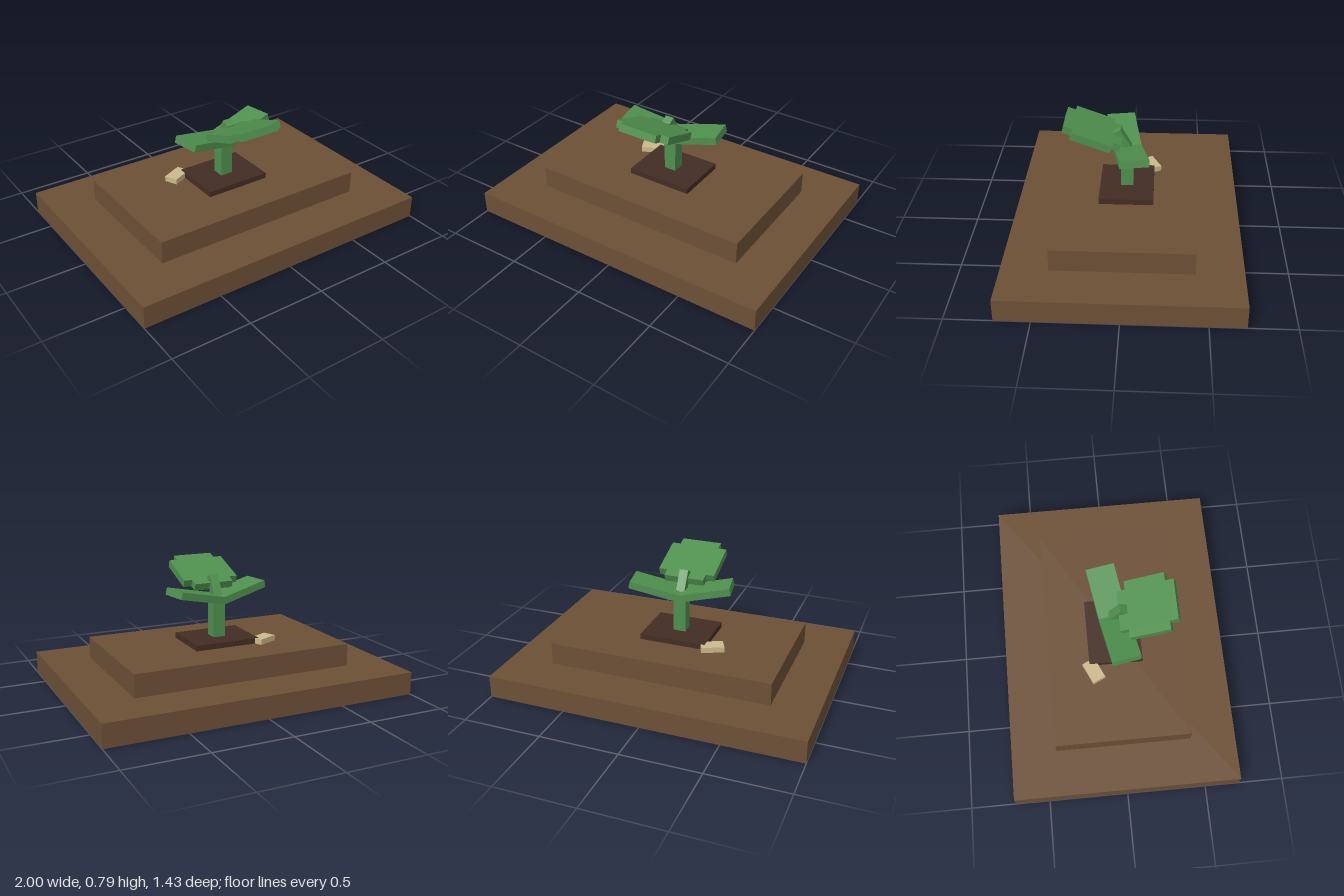
import * as THREE from 'three';

export function createModel() {
  const model = new THREE.Group();
  model.name = 'plantOnSteppedBase';

  const material = (name, color) => {
    const m = new THREE.MeshStandardMaterial({ color });
    m.name = name;
    return m;
  };
  const soil = material('soilBrown', 0x6d5036);
  const dark = material('darkBrown', 0x432d24);
  const green = material('leafGreen', 0x4f904e);
  const tan = material('paleTan', 0xccba8c);

  const box = (name, mat, w, h, d, x, y, z, parent = model) => {
    const mesh = new THREE.Mesh(new THREE.BoxGeometry(w, h, d), mat);
    mesh.name = name;
    mesh.position.set(x, y, z);
    parent.add(mesh);
    return mesh;
  };

  // Stepped ground, dark bed and the small chip tucked against its corner
  box('lowerStep', soil, 2, 0.143, 1.43, 0, 0.0715, 0);
  box('upperStep', soil, 1.428, 0.143, 0.856, 0, 0.2145, 0);
  box('darkBed', dark, 0.428, 0.036, 0.342, 0, 0.304, 0);
  const chip = box('chip', tan, 0.143, 0.035, 0.086, -0.257, 0.3035, -0.147);
  chip.rotation.y = THREE.MathUtils.degToRad(25);

  // Stem
  box('stem', green, 0.08, 0.24, 0.08, 0, 0.442, 0);

  // Shallow V of two lower leaves, extruded across its width
  const tilt = THREE.MathUtils.degToRad(12.5);
  const len = 0.33, thick = 0.046;
  const tipX = len * Math.cos(tilt), tipY = len * Math.sin(tilt);
  const offX = thick * Math.sin(tilt), offY = thick * Math.cos(tilt);
  const vShape = new THREE.Shape([
    [0, 0], [tipX, tipY], [tipX - offX, tipY + offY],
    [0, thick / Math.cos(tilt)],
    [-tipX + offX, tipY + offY], [-tipX, tipY],
  ].map(([x, y]) => new THREE.Vector2(x, y)));
  const vGeo = new THREE.ExtrudeGeometry(vShape, { depth: 0.18, bevelEnabled: false });
  vGeo.translate(0, 0, -0.09);
  const lowerLeaves = new THREE.Mesh(vGeo, green);
  lowerLeaves.name = 'lowerLeaves';
  lowerLeaves.position.y = 0.541;
  lowerLeaves.rotation.y = THREE.MathUtils.degToRad(10);
  model.add(lowerLeaves);

  // Short leaning stalk carrying the big leaf
  const stalk = box('leafStalk', green, 0.056, 0.15, 0.053, 0, 0.631, 0.026);
  stalk.rotation.x = THREE.MathUtils.degToRad(30);

  // Big leaf: a slab with notched corners, rising to the front
  const a = 0.13, b = 0.185, c = 0.13, d = 0.184;
  const leafShape = new THREE.Shape([
    [a, -d], [a, -c], [b, -c], [b, c], [a, c], [a, d],
    [-a, d], [-a, c], [-b, c], [-b, -c], [-a, -c], [-a, -d],
  ].map(([x, y]) => new THREE.Vector2(x, y)));
  const leafGeo = new THREE.ExtrudeGeometry(leafShape, { depth: 0.047, bevelEnabled: false });
  leafGeo.translate(0, 0, -0.0235);
  leafGeo.rotateX(-Math.PI / 2);
  const bigLeaf = new THREE.Mesh(leafGeo, green);
  bigLeaf.name = 'bigLeaf';
  bigLeaf.position.set(0, 0.7, 0.213);
  bigLeaf.rotation.x = THREE.MathUtils.degToRad(-20);
  model.add(bigLeaf);

  return model;
}
